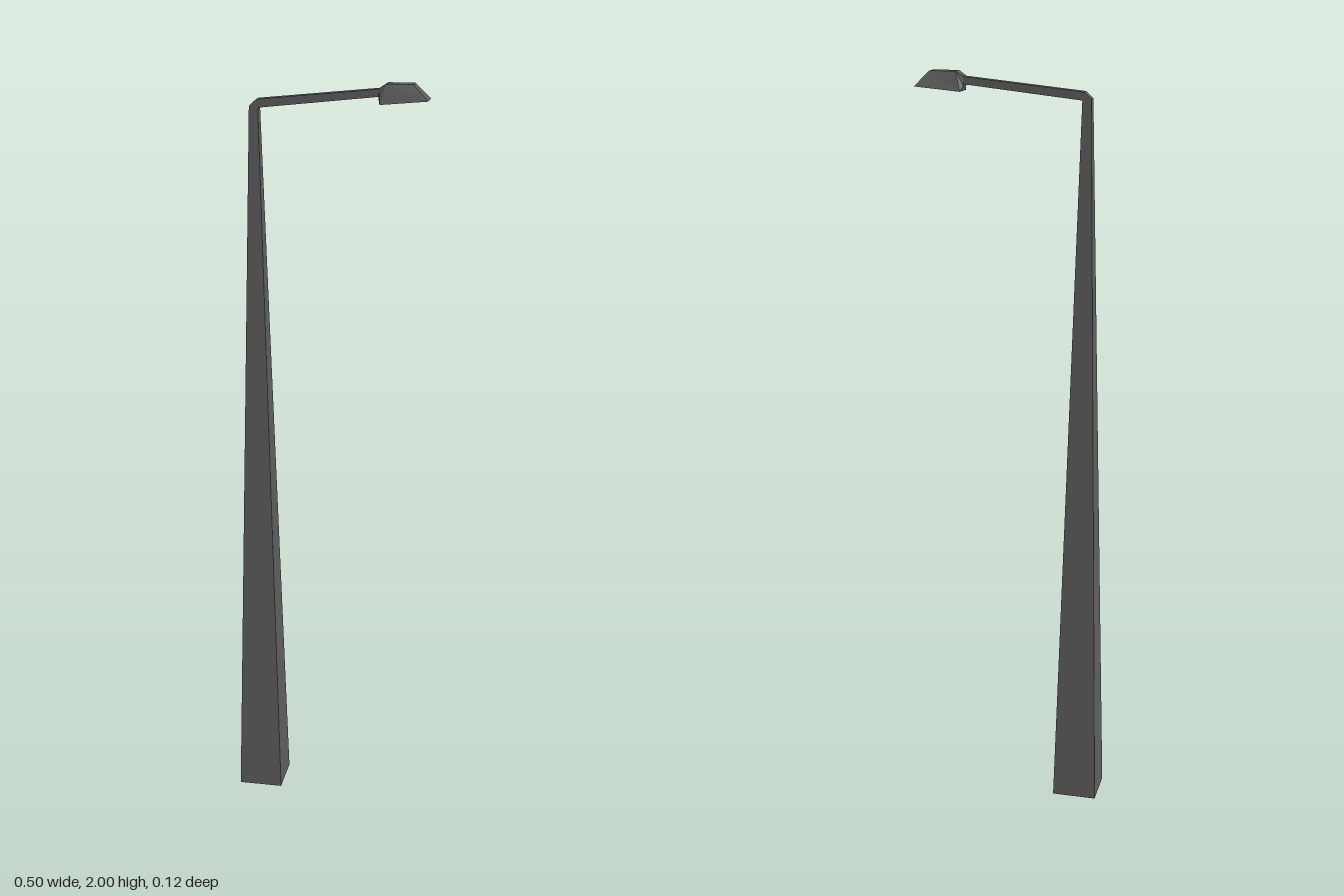
import * as THREE from 'three';

// Lofts four-cornered sections: [innerX, innerY, innerHalfZ, outerX, outerY, outerHalfZ]
function loft(sections, zOffset) {
  const rings = sections.map(([ix, iy, iz, ox, oy, oz]) => [
    [ix, iy, zOffset + iz], [ix, iy, zOffset - iz],
    [ox, oy, zOffset - oz], [ox, oy, zOffset + oz],
  ]);
  const positions = [];
  const quad = (a, b, c, d) => positions.push(...a, ...b, ...c, ...a, ...c, ...d);
  for (let s = 0; s < rings.length - 1; s++) {
    const a = rings[s], b = rings[s + 1];
    for (let i = 0; i < 4; i++) {
      const j = (i + 1) % 4;
      quad(a[i], a[j], b[j], b[i]);
    }
  }
  quad(...[...rings[0]].reverse());
  quad(...rings[rings.length - 1]);
  const geometry = new THREE.BufferGeometry();
  geometry.setAttribute('position', new THREE.Float32BufferAttribute(positions, 3));
  geometry.computeVertexNormals();
  return geometry;
}

export function createModel() {
  const model = new THREE.Group();
  model.name = 'streetLamp';
  const metal = new THREE.MeshStandardMaterial({ color: 0x606060, flatShading: true });
  const add = (name, sections) => {
    const mesh = new THREE.Mesh(loft(sections, -0.0013), metal);
    mesh.name = name;
    model.add(mesh);
  };

  // Tapered square pole
  const elbow = [-0.181, 1.932, 0.0135, -0.204, 1.938, 0.0135];
  add('pole', [
    [-0.132, 0, 0.06, -0.252, 0, 0.06],
    elbow,
  ]);

  // Bevelled elbow and the slightly rising arm
  add('arm', [
    elbow,
    [-0.18, 1.934, 0.0135, -0.185, 1.955, 0.0135],
    [0.13, 1.968, 0.0135, 0.13, 1.987, 0.0135],
  ]);

  // Lamp head: short flared neck, then a wedge with sloped sides and nose
  add('lampHead', [
    [0.126, 1.964, 0.015, 0.127, 1.988, 0.0135],
    [0.131, 1.95, 0.03, 0.145, 2.0, 0.0185],
    [0.252, 1.961, 0.03, 0.214, 2.0, 0.0185],
  ]);

  return model;
}
